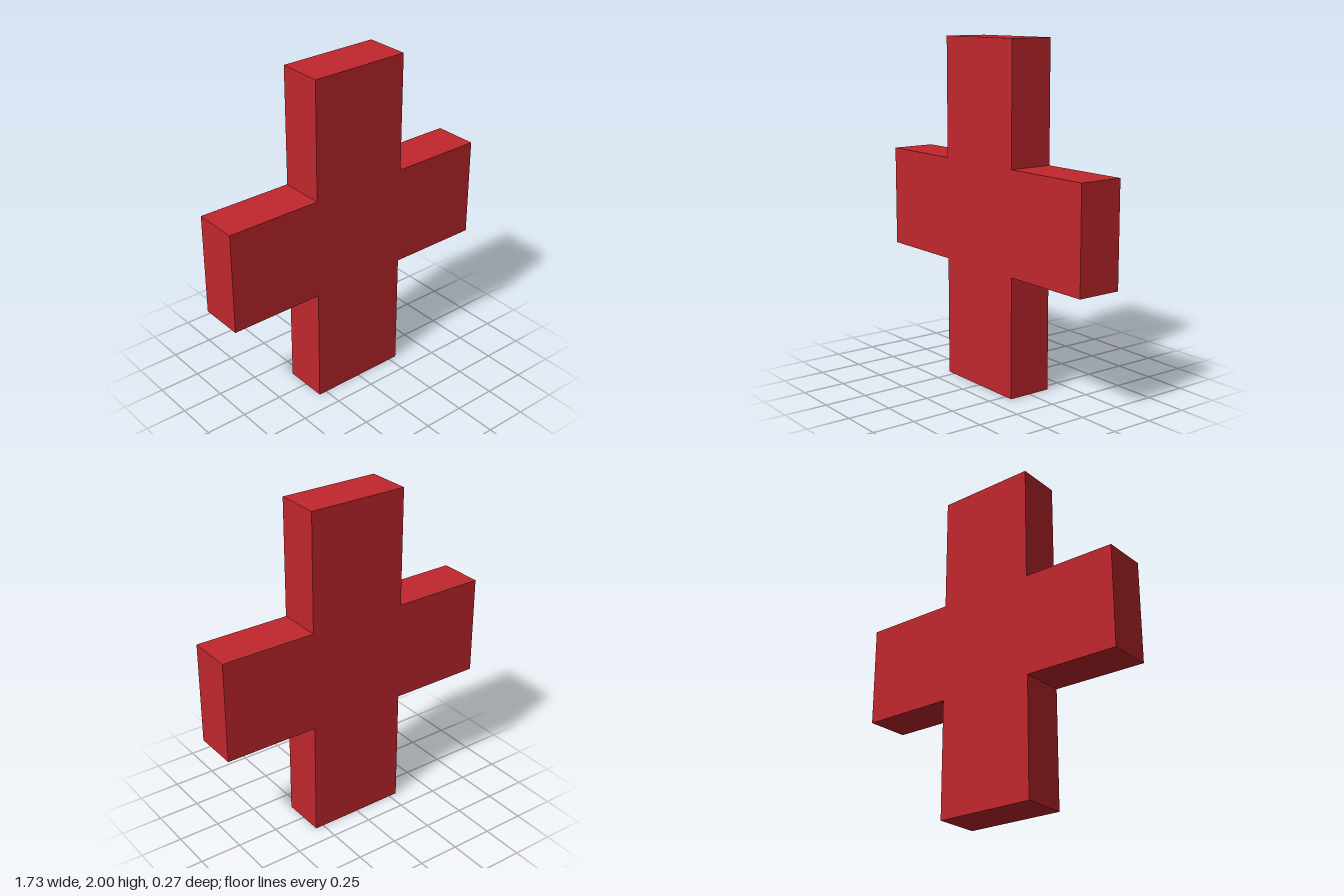
import * as THREE from 'three';

export function createModel() {
  const group = new THREE.Group();
  const halfSpan = 0.865, halfHeight = 1, halfBar = 0.3, depth = 0.266;

  // Cross outline: three corners per quadrant, turning counter-clockwise
  const outline = [];
  for (const [sx, sy] of [[1, 1], [-1, 1], [-1, -1], [1, -1]]) {
    const corners = [[halfSpan, halfBar], [halfBar, halfBar], [halfBar, halfHeight]];
    if (sx * sy < 0) corners.reverse();
    for (const [x, y] of corners) outline.push(new THREE.Vector2(sx * x, sy * y));
  }

  // Solid slab, centred in depth and standing on the ground
  const geometry = new THREE.ExtrudeGeometry(new THREE.Shape(outline), { depth, bevelEnabled: false });
  geometry.translate(0, halfHeight, -depth / 2);

  const cross = new THREE.Mesh(geometry, new THREE.MeshStandardMaterial({ color: 0xc1272d }));
  cross.name = 'cross';
  group.add(cross);
  return group;
}
